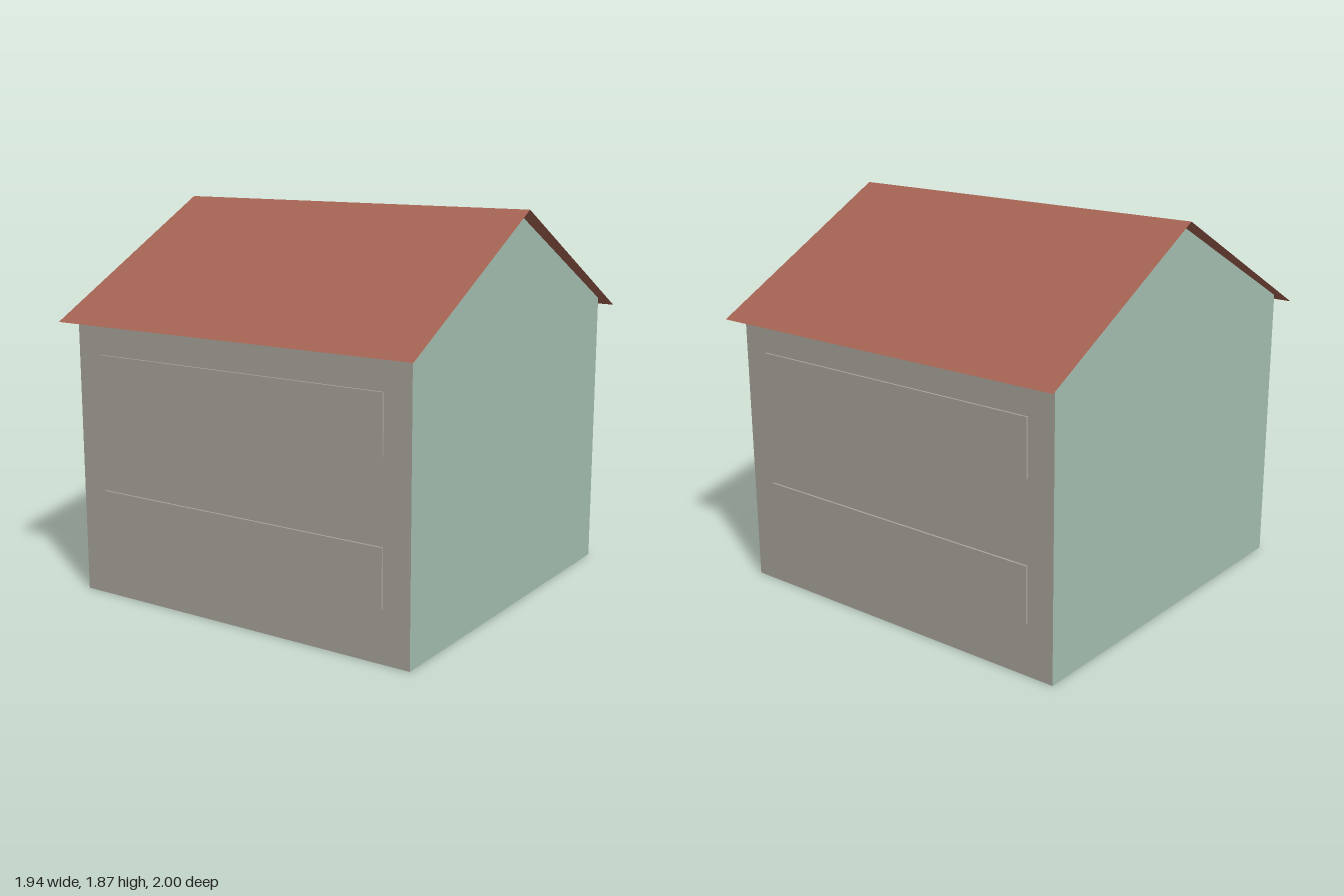
import * as THREE from 'three';

const WALL = 0.92, EAVE = 1.37, PEAK = 1.85;   // half width of the body, wall top, gable top
const ROOF_X = 0.97, ROOF_Z = 1, ROOF_LOW = 1.33, RIDGE = 1.87;

function material(name, color) {
  const m = new THREE.MeshStandardMaterial({ color });
  m.name = name;
  return m;
}

export function createModel() {
  const house = new THREE.Group();
  house.name = 'house';
  const stone = material('grey wall', 0xa9a59b);
  const sage = material('sage gable wall', 0xa6c0b1);
  const tile = material('red brown roof', 0xa56352);
  tile.side = THREE.DoubleSide;

  const add = (name, geometry, mat) => {
    const mesh = new THREE.Mesh(geometry, mat);
    mesh.name = name;
    house.add(mesh);
    return mesh;
  };

  // Body: sage ends, grey front and back, brown floor
  add('body', new THREE.BoxGeometry(2 * WALL, EAVE, 2 * WALL),
    [sage, sage, tile, tile, stone, stone]).position.y = EAVE / 2;

  // Triangular gables above the end walls
  const triangle = new THREE.Shape([
    new THREE.Vector2(-WALL, EAVE), new THREE.Vector2(WALL, EAVE), new THREE.Vector2(0, PEAK),
  ]);
  for (const side of [-1, 1]) {
    const gable = add(side > 0 ? 'leftGable' : 'rightGable', new THREE.ShapeGeometry(triangle), sage);
    gable.rotation.y = side * Math.PI / 2;
    gable.position.x = side * WALL;
  }

  // Thin roof slopes and two rows of raised wall panels, front and back
  const slope = Math.hypot(ROOF_Z, RIDGE - ROOF_LOW);
  const pitch = Math.atan2(RIDGE - ROOF_LOW, ROOF_Z);
  for (const side of [1, -1]) {
    const label = side > 0 ? 'front' : 'back';
    const sheet = new THREE.PlaneGeometry(2 * ROOF_X, slope);
    sheet.rotateX(pitch - Math.PI / 2);
    sheet.translate(0, (RIDGE + ROOF_LOW) / 2, ROOF_Z / 2);
    if (side < 0) sheet.rotateY(Math.PI);
    add(label + 'Roof', sheet, tile);

    for (const y of [0.385, 1.045]) {
      add(label + (y < 1 ? 'LowerPanel' : 'UpperPanel'), new THREE.BoxGeometry(1.57, 0.27, 0.02), stone)
        .position.set(0, y, side * WALL);
    }
  }
  return house;
}
